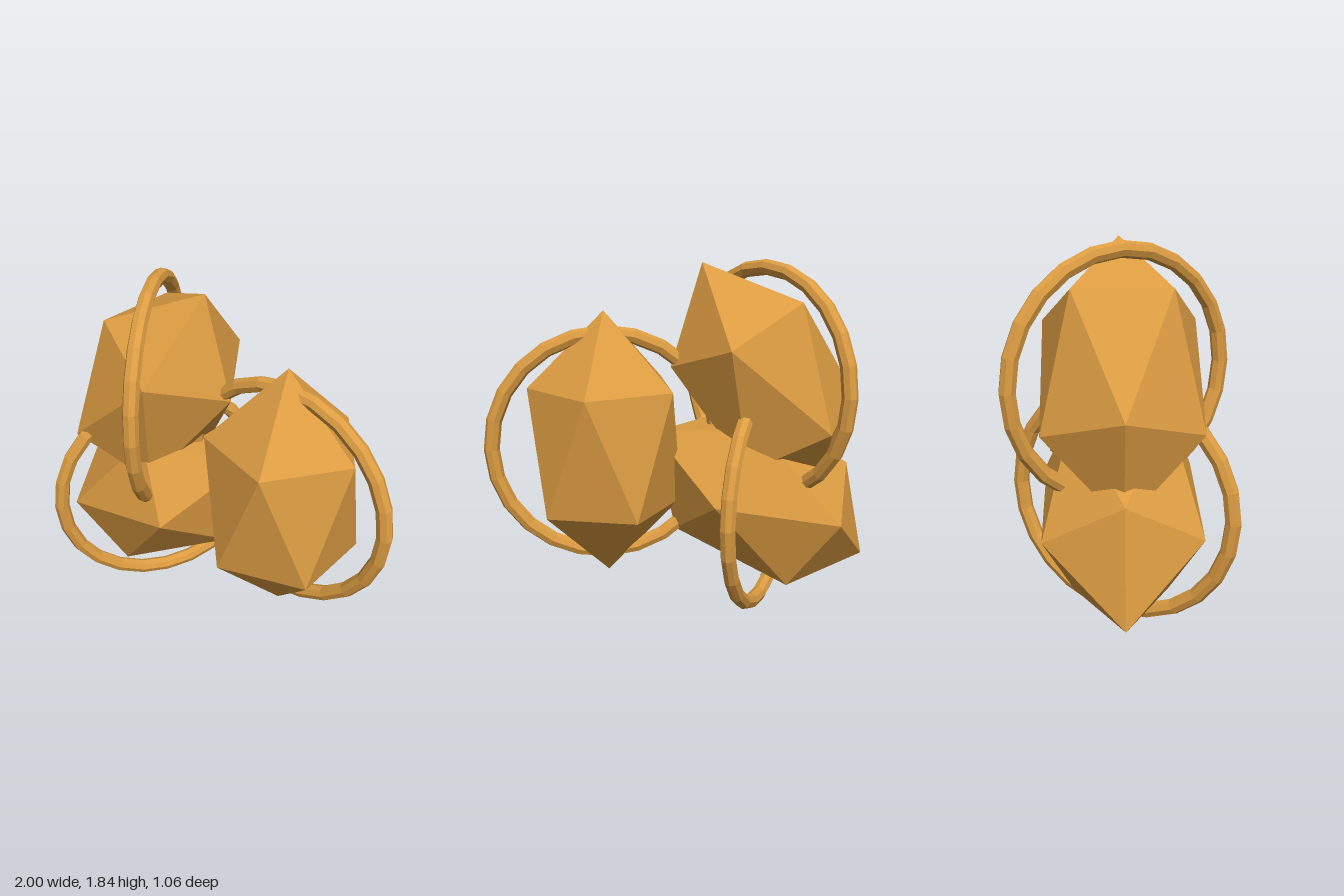
import * as THREE from 'three';

export function createModel() {
  const model = new THREE.Group();
  const amber = new THREE.MeshStandardMaterial({ color: 0xdc9c42, flatShading: true });
  amber.name = 'amber';

  // Icosahedron stood on one corner, then stretched upward
  const gem = new THREE.IcosahedronGeometry(0.43, 0);
  gem.rotateZ(-Math.atan(2 / (1 + Math.sqrt(5))));
  gem.scale(1, 1.58, 1);

  const ring = new THREE.TorusGeometry(0.57, 0.039, 8, 24);

  // Each gem leans in the front plane; its upright ring turns about the vertical
  const units = [
    { name: 'side', x: 0.387, y: 0.925, lean: 0, turn: 0 },
    { name: 'upper', x: -0.428, y: 1.234, lean: -0.5, turn: -Math.PI / 3 },
    { name: 'lower', x: -0.428, y: 0.616, lean: -1, turn: Math.PI / 3 },
  ];

  for (const u of units) {
    const unit = new THREE.Group();
    unit.name = u.name + 'Unit';
    unit.position.set(u.x, u.y, 0);

    const stone = new THREE.Mesh(gem, amber);
    stone.name = u.name + 'Gem';
    stone.rotation.z = u.lean;

    const hoop = new THREE.Mesh(ring, amber);
    hoop.name = u.name + 'Ring';
    hoop.rotation.y = u.turn;

    unit.add(stone, hoop);
    model.add(unit);
  }
  return model;
}
